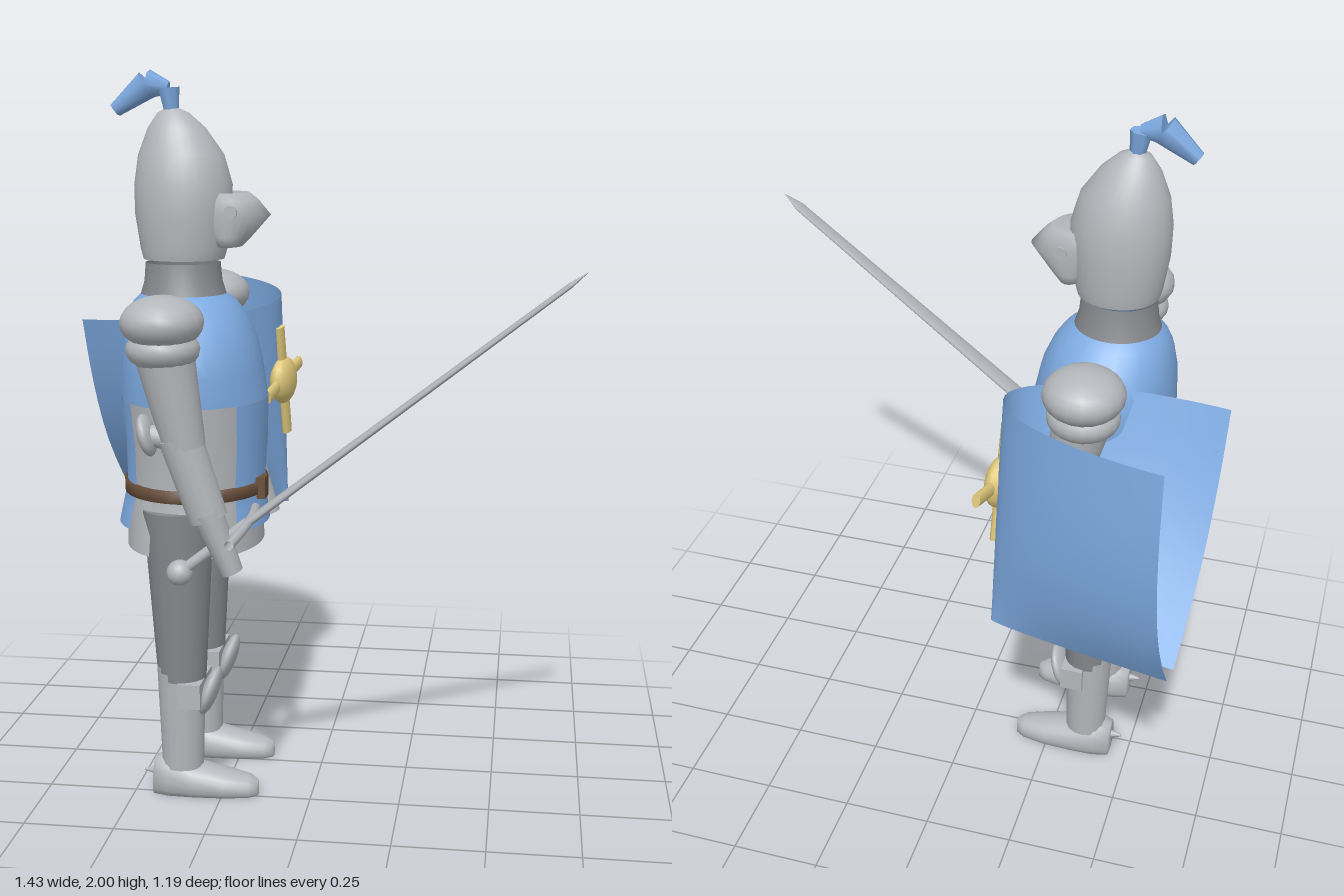
import * as THREE from 'three';
import { mergeVertices } from 'three/addons/utils/BufferGeometryUtils.js';

const V = (x, y, z) => new THREE.Vector3(x, y, z);
const mat = (name, color) => new THREE.MeshStandardMaterial({ name, color, side: THREE.DoubleSide });
const CZ = 0.095; // middle of the body

export function createModel() {
  const root = new THREE.Group();
  root.name = 'knight';
  const steel = mat('steel', 0xb4b7bb), mail = mat('dark mail', 0x86888c), blue = mat('blue cloth', 0x7eabe2),
    brown = mat('brown leather', 0x694f3b), gold = mat('gold', 0xdfc87a);

  const add = (name, geo, material, parent = root) => {
    const m = new THREE.Mesh(geo, material);
    m.name = name;
    parent.add(m);
    return m;
  };
  // Grid surface from a point function
  const surface = (fn, nu, nv) => {
    const pos = [], idx = [];
    for (let j = 0; j <= nv; j++) for (let i = 0; i <= nu; i++) pos.push(...fn(i / nu, j));
    for (let j = 0; j < nv; j++) for (let i = 0; i < nu; i++) {
      const a = j * (nu + 1) + i, b = a + nu + 1;
      idx.push(a, b, a + 1, b, b + 1, a + 1);
    }
    let g = new THREE.BufferGeometry();
    g.setAttribute('position', new THREE.Float32BufferAttribute(pos, 3));
    g.setIndex(idx);
    g = mergeVertices(g, 1e-5);
    g.computeVertexNormals();
    return g;
  };
  // Elliptical rings [y, centre x, x radius, z radius]; the angle is 0 at the front
  const rings = (rows, a0 = -Math.PI, a1 = Math.PI, grow = 0, n = 28) => surface((u, j) => {
    const [y, cx, rx, rz] = rows[j], a = a0 + (a1 - a0) * u;
    return [cx + (rx + grow) * Math.cos(a), y, CZ + (rz + grow) * Math.sin(a)];
  }, n, rows.length - 1);
  const limb = (name, a, b, r0, r1, material, parent = root, sides = 16) => {
    const m = add(name, new THREE.CylinderGeometry(r1, r0, a.distanceTo(b), sides), material, parent);
    m.position.copy(a).lerp(b, 0.5);
    m.quaternion.setFromUnitVectors(V(0, 1, 0), b.clone().sub(a).normalize());
    return m;
  };
  const ball = (name, p, s, material, parent = root) => {
    const m = add(name, new THREE.SphereGeometry(1, 18, 12), material, parent);
    m.position.copy(p);
    m.scale.copy(s);
    return m;
  };

  // Helmet, visor and neck
  add('helmet', rings([[1.5, -0.367, 0.111, 0.106], [1.53, -0.366, 0.119, 0.112], [1.62, -0.366, 0.132, 0.119],
    [1.7, -0.365, 0.134, 0.116], [1.78, -0.37, 0.117, 0.098], [1.85, -0.381, 0.079, 0.063],
    [1.89, -0.39, 0.043, 0.035], [1.91, -0.395, 0.002, 0.002]]), steel);
  add('visor', rings([[1.67, -0.24, 0.001, 0.001], [1.68, -0.24, 0.055, 0.066], [1.66, -0.24, 0.08, 0.078],
    [1.62, -0.24, 0.114, 0.08], [1.56, -0.24, 0.06, 0.076], [1.535, -0.24, 0.035, 0.068],
    [1.53, -0.24, 0.001, 0.001]]), steel);
  limb('visorPivot', V(-0.222, 1.63, CZ - 0.086), V(-0.222, 1.63, CZ + 0.086), 0.018, 0.018, steel);
  add('neck', rings([[1.49, -0.37, 0.103, 0.092], [1.44, -0.37, 0.107, 0.1], [1.39, -0.37, 0.122, 0.118]]), mail);

  // Plume
  const plume = [V(-0.395, 1.89, CZ), V(-0.402, 1.955, CZ), V(-0.46, 1.965, CZ), V(-0.55, 1.897, CZ)];
  const start = [0.02, 0.018, 0.04], end = [0.03, 0.04, 0.02];
  for (let i = 0; i < 3; i++) limb('plume', plume[i], plume[i + 1], start[i], end[i], blue, root, 7);

  // Torso: blue chest, steel waist, blue tabard panels front and back
  const waist = [[1.12, -0.342, 0.198, 0.226], [1, -0.338, 0.191, 0.215], [0.88, -0.342, 0.186, 0.205],
    [0.83, -0.343, 0.187, 0.213]];
  add('chest', rings([[1.405, -0.37, 0.118, 0.112], [1.385, -0.366, 0.142, 0.138], [1.345, -0.36, 0.164, 0.176],
    [1.28, -0.352, 0.184, 0.222], [1.2, -0.346, 0.194, 0.236], [1.12, -0.342, 0.201, 0.23]]), blue);
  add('waistPlate', rings(waist), steel);
  const tabard = [...waist.slice(0, 3), [0.83, -0.345, 0.195, 0.213], [0.77, -0.348, 0.205, 0.225]];
  const skirt = [[0.86, -0.343, 0.184, 0.208], [0.8, -0.344, 0.187, 0.222], [0.71, -0.345, 0.19, 0.243]];
  for (const c of [0, Math.PI]) {
    const side = c ? 'back' : 'front';
    add(side + 'Tabard', rings(tabard, c - 0.77, c + 0.77, 0.005), blue);
    add(side + 'Skirt', rings(skirt, c - 1.1, c + 1.1), steel);
  }
  ball('pelvis', V(-0.355, 0.81, CZ), V(0.15, 0.08, 0.16), steel);

  // Belt
  add('belt', rings([0.858, 0.858, 0.892, 0.892].map((y, i) =>
    [y, -0.342, i % 3 ? 0.2 : 0.18, i % 3 ? 0.214 : 0.2])), brown);
  const buckle = add('buckle', new THREE.BoxGeometry(0.03, 0.06, 0.055), brown);
  buckle.position.set(-0.15, 0.875, 0.14);

  // Legs and arms, mirrored about the body's middle
  const foot = [[-0.447, 0.09, 0.001], [-0.445, 0.1, 0.045], [-0.4, 0.118, 0.061], [-0.33, 0.092, 0.063],
    [-0.24, 0.07, 0.058], [-0.175, 0.055, 0.042], [-0.152, 0.042, 0.022], [-0.148, 0.035, 0.001]];
  for (const s of [1, -1]) {
    const leg = new THREE.Group(), arm = new THREE.Group();
    leg.name = s > 0 ? 'rightLeg' : 'leftLeg';
    arm.name = s > 0 ? 'rightArm' : 'leftArm';
    root.add(leg, arm);
    const z = CZ + s * 0.136;
    limb('thigh', V(-0.363, 0.34, z), V(-0.365, 0.83, z), 0.068, 0.099, mail, leg);
    limb('shin', V(-0.365, 0.08, z), V(-0.365, 0.38, z), 0.059, 0.069, steel, leg);
    const band = add('kneeBand', new THREE.BoxGeometry(0.065, 0.07, 0.16), steel, leg);
    band.position.set(-0.33, 0.31, z);
    ball('kneeCap', V(-0.284, 0.303, z), V(0.023, 0.071, 0.07), steel, leg).rotation.z = -0.33;
    add('foot', surface((u, j) => {
      const [x, h, w] = foot[j], a = u * Math.PI * 2;
      return [x, Math.max(0, h * (0.35 + 0.65 * Math.sin(a))), z + w * Math.cos(a)];
    }, 20, foot.length - 1), steel, leg);
    limb('spur', V(-0.44, 0.055, z), V(-0.477, 0.055, z), 0.014, 0.004, steel, leg, 8);

    const p = (x, y, d) => V(x, y, CZ + s * d);
    ball('pauldron', p(-0.355, 1.368, 0.327), V(0.109, 0.07, 0.112), steel, arm);
    ball('lowerPauldron', p(-0.355, 1.298, 0.322), V(0.097, 0.058, 0.095), steel, arm);
    limb('upperArm', p(-0.355, 1.3, 0.32), p(-0.305, 1.04, 0.315), 0.079, 0.056, steel, arm);
    ball('elbow', p(-0.312, 1.06, 0.315), V(0.057, 0.057, 0.057), steel, arm);
    limb('elbowStrap', p(-0.33, 1.06, 0.315), p(-0.395, 1.07, 0.315), 0.033, 0.028, steel, arm);
    ball('elbowCap', p(-0.405, 1.07, 0.315), V(0.022, 0.057, 0.052), steel, arm).rotation.z = 0.25;
    limb('forearm', p(-0.318, 1.07, 0.315), p(-0.245, 0.85, 0.31), 0.058, 0.052, steel, arm);
    limb('gauntlet', p(-0.25, 0.87, 0.31), p(-0.185, 0.705, 0.305), 0.043, 0.03, steel, arm).scale.z = 1.35;
  }

  // Sword, built upright and tipped forward
  const sword = new THREE.Group();
  sword.name = 'sword';
  sword.position.set(-0.14, 0.843, 0.405);
  sword.rotation.z = -0.909;
  root.add(sword);
  for (const [name, r1, r0, y0, y1] of [['blade', 0.023, 0.037, 0, 1.03], ['bladeTip', 0.001, 0.023, 1.03, 1.087]]) {
    const b = limb(name, V(0, y0, 0), V(0, y1, 0), r0, r1, steel, sword, 12);
    b.scale.x = 0.3;
  }
  const guard = new THREE.CatmullRomCurve3([V(0, -0.02, -0.2), V(0, -0.002, -0.09), V(0, 0.003, -0.01),
    V(0, -0.002, 0.08), V(0, -0.02, 0.182)]);
  add('crossguard', new THREE.TubeGeometry(guard, 20, 0.013, 8), steel, sword);
  limb('grip', V(0, -0.22, 0), V(0, 0, 0), 0.015, 0.015, steel, sword);
  ball('pommel', V(0, -0.235, 0), V(0.035, 0.035, 0.035), steel, sword);

  // Shield: deep half-ellipse sections narrowing toward the bottom
  const widths = [0.258, 0.25, 0.241, 0.228, 0.212, 0.191, 0.163, 0.126, 0.081, 0.025];
  const across = V(0.165, 0.195, -0.967).normalize(), front = V(0.986, 0, 0.167).normalize();
  add('shield', surface((u, j) => {
    const a = (u - 0.5) * Math.PI, t = j / 9;
    const tilt = across.clone().setY(across.y * (1 - t));
    const p = V(-0.16, 1.35, -0.25).lerp(V(-0.155, 0.7, -0.375), t);
    return p.addScaledVector(tilt, widths[j] * Math.sin(a))
      .addScaledVector(front, -0.518 * (1 - Math.cos(a))).toArray();
  }, 32, 9), blue);

  // Gold cross and boss on the shield
  const cross = new THREE.Group();
  cross.name = 'shieldCross';
  const up = front.clone().cross(across).normalize();
  cross.quaternion.setFromRotationMatrix(new THREE.Matrix4().makeBasis(across, up, front));
  cross.position.set(-0.155, 1.1, -0.288);
  root.add(cross);
  limb('crossUpright', V(0, -0.168, 0), V(0, 0.168, 0), 0.022, 0.022, gold, cross, 10).scale.z = 0.6;
  limb('crossBar', V(-0.152, 0, 0), V(0.152, 0, 0), 0.021, 0.021, gold, cross, 10).scale.z = 0.6;
  ball('boss', V(0, 0, 0), V(0.072, 0.072, 0.037), gold, cross);

  return root;
}
